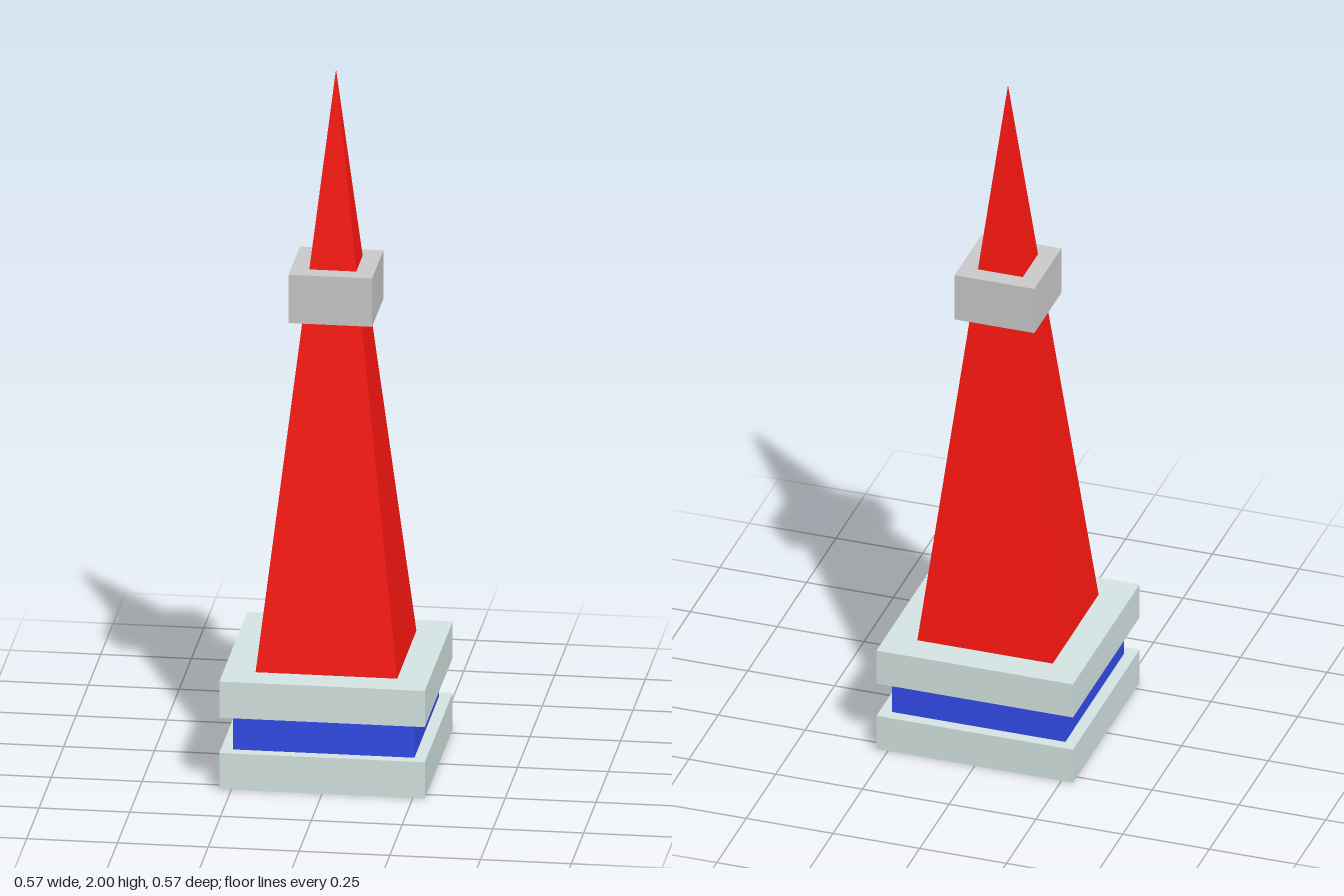
import * as THREE from 'three';

const material = (color) => new THREE.MeshStandardMaterial({ color, flatShading: true });

export function createModel() {
  const model = new THREE.Group();
  model.name = 'obeliskTower';

  const pale = material(0xd6e6e4);
  const blue = material(0x334cec);
  const red = material(0xfc1711);
  const grey = material(0xcccccc);

  // Square block between two heights
  const addBlock = (name, width, bottom, top, mat) => {
    const block = new THREE.Mesh(new THREE.BoxGeometry(width, top - bottom, width), mat);
    block.position.y = (bottom + top) / 2;
    block.name = name;
    model.add(block);
  };

  // Plinth: two slabs with a recessed band between them
  addBlock('lowerSlab', 0.566, 0, 0.105, pale);
  addBlock('plinthBand', 0.5, 0.105, 0.207, blue);
  addBlock('upperSlab', 0.566, 0.207, 0.312, pale);

  // Spire: a slender four-sided pyramid, square to the plinth
  const base = 0.312, height = 2 - base, halfWidth = 0.195;
  const pyramid = new THREE.ConeGeometry(halfWidth * Math.SQRT2, height, 4);
  pyramid.rotateY(Math.PI / 4);
  const spire = new THREE.Mesh(pyramid, red);
  spire.position.y = base + height / 2;
  spire.name = 'spire';
  model.add(spire);

  // Collar around the upper spire
  addBlock('collar', 0.23, 1.3, 1.44, grey);

  return model;
}
